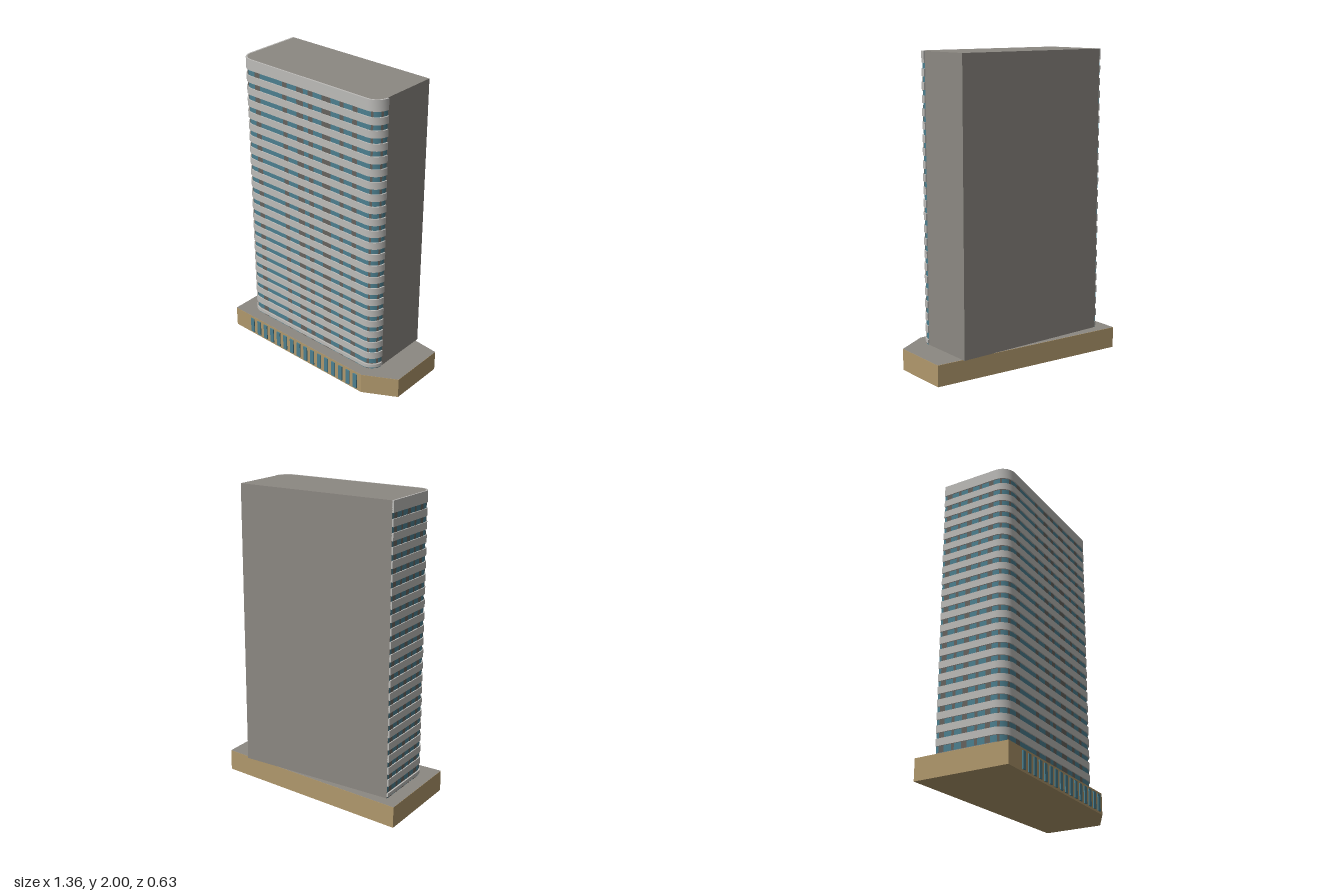
import * as THREE from 'three';
import { mergeGeometries, toCreasedNormals } from 'three/addons/utils/BufferGeometryUtils.js';

// Facade line: left wall, rounded corner, front wall, rounded corner
const X0 = -0.585, X1 = 0.5, BACK = -0.235, FRONT = 0.228, R = 0.08;
const SIDE = FRONT - R - BACK, ARC = R * Math.PI / 2, WIDTH = X1 - X0 - 2 * R;
const A0 = SIDE, A1 = A0 + ARC, B0 = A1 + WIDTH, END = B0 + ARC;

// Point [x, z] at distance s along the facade, pushed outwards by off
function facadePoint(s, off) {
  if (s <= A0) return [X0 - off, BACK + s];
  if (s > A1 && s < B0) return [X0 + R + s - A1, FRONT + off];
  const left = s <= A1;
  const a = left ? Math.PI - (s - A0) / R : Math.PI / 2 - (s - B0) / R;
  const cx = left ? X0 + R : X1 - R;
  return [cx + (R + off) * Math.cos(a), FRONT - R + (R + off) * Math.sin(a)];
}

function facadeLine(s0, s1, off) {
  const stops = [s0, s1];
  for (let i = 0; i <= 10; i++) stops.push(A0 + ARC * i / 10, B0 + ARC * i / 10);
  return stops.filter(s => s >= s0 && s <= s1)
    .sort((a, b) => a - b)
    .filter((s, i, l) => i === 0 || s - l[i - 1] > 1e-6)
    .map(s => facadePoint(s, off));
}

// Upright prism from a plan outline of [x, z] points
function planShape(points) {
  return new THREE.Shape(points.map(([x, z]) => new THREE.Vector2(x, -z)));
}
function prism(points, y0, y1) {
  const g = new THREE.ExtrudeGeometry(planShape(points), { depth: y1 - y0, bevelEnabled: false });
  g.rotateX(-Math.PI / 2).translate(0, y0, 0);
  return toCreasedNormals(g, 0.5);
}

// Thin upright strip following the facade
function strip(s0, s1, off, y0, y1) {
  const line = facadeLine(s0, s1, off), pos = [], index = [];
  line.forEach(([x, z], i) => {
    pos.push(x, y0, z, x, y1, z);
    if (i) {
      const a = 2 * i - 2;
      index.push(a, a + 2, a + 1, a + 1, a + 2, a + 3);
    }
  });
  const g = new THREE.BufferGeometry();
  g.setAttribute('position', new THREE.Float32BufferAttribute(pos, 3));
  g.setIndex(index);
  g.computeVertexNormals();
  return g;
}

export function createModel() {
  const mat = (name, color, side = THREE.FrontSide) => {
    const m = new THREE.MeshStandardMaterial({ color, side });
    m.name = name;
    return m;
  };
  const concrete = mat('concrete', 0x8c8882);
  const bandGrey = mat('bandGrey', 0xbcbbb8);
  const glass = mat('glass', 0x4c7f8f, THREE.DoubleSide);
  const panelGrey = mat('panelGrey', 0x66635e, THREE.DoubleSide);
  const stone = mat('stone', 0xb0986c);

  const model = new THREE.Group();
  model.name = 'towerBlock';
  const add = (name, geometry, material) => {
    const mesh = new THREE.Mesh(geometry, material);
    mesh.name = name;
    model.add(mesh);
  };

  // Podium with slanted back and cut front corner
  const podium = [[-0.68, 0.305], [0.465, 0.305], [0.675, 0.187], [0.675, -0.2], [-0.68, -0.315]];
  add('podium', prism(podium, 0, 0.138), stone);
  const deck = new THREE.ShapeGeometry(planShape(podium));
  deck.rotateX(-Math.PI / 2).translate(0, 0.1395, 0);
  add('podiumDeck', deck, concrete);

  // Podium windows
  const shopWindows = [];
  for (let i = 0; i < 16; i++) {
    shopWindows.push(new THREE.BoxGeometry(0.03, 0.108, 0.009).translate(-0.518 + i * 0.0622, 0.068, 0.3075));
  }
  add('podiumWindows', mergeGeometries(shopWindows), glass);

  // Tower core with plain back and right walls
  add('towerCore', prism([...facadeLine(0, END, 0), [X1, BACK]], 0.139, 2), concrete);

  // Projecting floor bands, with a taller one at the roof
  const ring = [...facadeLine(0, END, 0.01), ...facadeLine(0, END, -0.001).reverse()];
  const pitch = 0.0813, bands = [prism(ring, 1.929, 2)];
  for (let i = 0; i < 22; i++) {
    const y = 1.87 - i * pitch, half = i === 21 ? 0.012 : 0.023;
    bands.push(prism(ring, y - half, y + half));
  }
  add('floorBands', mergeGeometries(bands), bandGrey);

  // Solid panels between the windows: [centre, width] along the facade
  const panels = [];
  for (let i = 0; i < 5; i++) panels.push([0.035 + i * 0.078, i % 2 ? 0.02 : 0.036]);
  for (const t of [0.25, 0.7]) panels.push([A0 + t * ARC, 0.014], [B0 + t * ARC, 0.014]);
  const frontPanels = [[-0.455, 0.042], [-0.225, 0.037], [-0.1, 0.055], [-0.015, 0.038],
    [0.11, 0.068], [0.23, 0.032], [0.33, 0.037]];
  for (const [x, w] of frontPanels) panels.push([A1 + x - X0 - R, w]);

  // Window rows
  const glassStrips = [], panelStrips = [];
  for (let i = 0; i < 23; i++) {
    const y = 1.911 - i * pitch, y0 = Math.max(y - 0.023, 0.14), y1 = y + 0.023;
    glassStrips.push(strip(0, END, 0.002, y0, y1));
    for (const [s, w] of panels) panelStrips.push(strip(s - w / 2, s + w / 2, 0.004, y0, y1));
  }
  add('windowRows', mergeGeometries(glassStrips), glass);
  add('wallPanels', mergeGeometries(panelStrips), panelGrey);

  return model;
}
